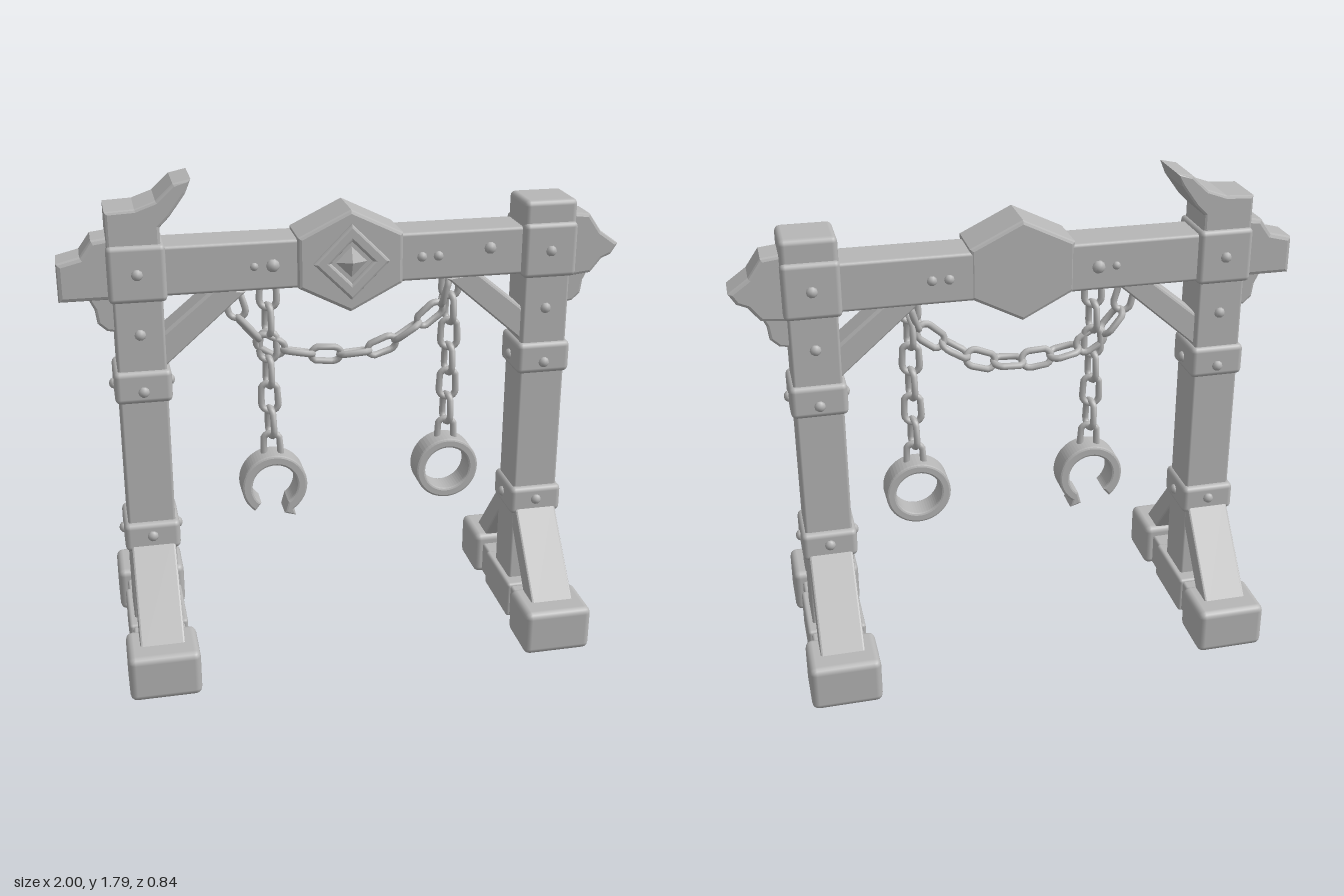
import * as THREE from 'three';
import { RoundedBoxGeometry } from 'three/addons/geometries/RoundedBoxGeometry.js';

export function createModel() {
  const model = new THREE.Group();
  const stone = new THREE.MeshStandardMaterial({ color: 0xb6b6b6 });
  stone.name = 'plain grey';

  const add = (name, geometry, x = 0, y = 0, z = 0, parent = model) => {
    const mesh = new THREE.Mesh(geometry, stone);
    mesh.name = name;
    mesh.position.set(x, y, z);
    parent.add(mesh);
    return mesh;
  };
  const box = (name, w, h, d, x, y, z, r = 0.015, parent = model) =>
    add(name, new RoundedBoxGeometry(w, h, d, 2, r), x, y, z, parent);
  const shapeOf = (pts) => new THREE.Shape(pts.map(([x, y]) => new THREE.Vector2(x, y)));
  // Slab with softened edges, from z0 to z1; the outline keeps its size
  const slab = (name, shape, z0, z1, bevel = 0.01, parent = model) => {
    const g = new THREE.ExtrudeGeometry(shape, {
      depth: z1 - z0 - 2 * bevel, bevelEnabled: bevel > 0, bevelThickness: bevel,
      bevelSize: bevel, bevelOffset: -bevel, bevelSegments: 2, curveSegments: 28,
    });
    g.translate(0, 0, z0 + bevel);
    return add(name, g, 0, 0, 0, parent);
  };
  // Domed bolt pointing along a direction
  const bolt = (x, y, z, dir, parent = model, r = 0.02) => {
    const g = new THREE.SphereGeometry(r, 10, 6);
    g.scale(1, 0.8, 1);
    const m = add('bolt', g, x, y, z, parent);
    m.quaternion.setFromUnitVectors(new THREE.Vector3(0, 1, 0), new THREE.Vector3(...dir));
  };

  // Uprights with feet, struts and collars
  for (const [name, px] of [['rightPost', -0.735], ['leftPost', 0.727]]) {
    const post = new THREE.Group();
    post.name = name;
    post.position.x = px;
    model.add(post);
    box('postShaft', 0.17, 1.46, 0.17, 0, 0.85, 0, 0.01, post);
    box('footBeam', 0.19, 0.13, 0.6, 0, 0.07, 0, 0.01, post);
    box('footMiddle', 0.215, 0.145, 0.28, 0, 0.0725, 0, 0.012, post);
    for (const s of [1, -1]) {
      box('footCap', 0.255, 0.175, 0.205, 0, 0.0875, s * 0.32, 0.025, post);
      // Sloping strut
      const strut = slab('footStrut', shapeOf([
        [0.36, 0.15], [0.09, 0.47], [0.06, 0.47], [0.06, 0.385], [0.25, 0.15],
      ]), -0.08, 0.08, 0.008, post);
      strut.rotation.y = -s * Math.PI / 2;
    }
    box('lowerCollar', 0.2, 0.11, 0.21, 0, 0.485, 0, 0.02, post);
    box('middleCollar', 0.2, 0.12, 0.2, 0, 1.065, 0, 0.02, post);
    box('beamCollar', 0.198, 0.2, 0.22, 0, 1.475, 0, 0.018, post);
    for (const s of [1, -1]) {
      for (const [y, z] of [[0.49, 0.105], [1.05, 0.1], [1.255, 0.085], [1.475, 0.11]])
        bolt(0, y, s * z, [0, 0, s], post);
      for (const y of [0.485, 1.055]) bolt(s * 0.1, y, 0, [s, 0, 0], post);
    }
  }

  // Post tops: one squared, one splintered
  box('postTop', 0.195, 0.13, 0.19, 0.727, 1.59, 0, 0.02);
  slab('splinteredTop', shapeOf([
    [-0.83, 1.54], [-0.83, 1.69], [-0.73, 1.695], [-0.66, 1.72], [-0.6, 1.775],
    [-0.54, 1.788], [-0.56, 1.74], [-0.615, 1.665], [-0.65, 1.63], [-0.65, 1.54],
  ]), -0.095, 0.095);

  // Crossbeam and its worn ends
  box('crossbeam', 1.5, 0.175, 0.165, 0, 1.4725, -0.006, 0.012);
  slab('rightBeamEnd', shapeOf([
    [-0.8, 1.38], [-1, 1.38], [-1, 1.515], [-0.92, 1.535], [-0.88, 1.59], [-0.8, 1.6],
  ]), -0.07, 0.07, 0.015);
  slab('leftBeamEnd', shapeOf([
    [0.8, 1.36], [0.9, 1.37], [0.94, 1.42], [0.975, 1.435], [1, 1.475],
    [0.93, 1.525], [0.885, 1.59], [0.8, 1.6],
  ]), -0.07, 0.065, 0.012);
  for (const s of [1, -1]) {
    const pts = [[0.78, 1.4], [0.78, 1.25], [0.845, 1.262], [0.875, 1.29], [0.882, 1.34], [0.91, 1.4]];
    if (s < 0) pts.reverse();
    slab('beamEndBracket', shapeOf(pts.map(([x, y]) => [s * x, y])), -0.045, 0.045);
    // Diagonal knee brace
    const knee = [[0.67, 1.11], [0.36, 1.38], [0.47, 1.4], [0.67, 1.235]];
    if (s < 0) knee.reverse();
    slab('kneeBrace', shapeOf(knee.map(([x, y]) => [s * x, y])), -0.06, 0.06);
  }
  for (const s of [1, -1])
    for (const [x, r] of [[-0.27, 0.024], [-0.335, 0.015], [0.26, 0.018], [0.32, 0.018]])
      bolt(x, 1.472, s > 0 ? 0.078 : -0.09, [0, 0, s], model, r);
  bolt(0.51, 1.49, 0.077, [0, 0, 1], model, 0.022);

  // Hexagonal centrepiece with a diamond boss
  const cy = 1.478;
  slab('centreHexagon', shapeOf([
    [-0.185, 1.57], [-0.185, 1.39], [0, 1.295], [0.185, 1.39], [0.185, 1.57], [0, 1.66],
  ]), -0.09, 0.108, 0.012);
  const diamond = (r) => [[-r, cy], [0, cy - r], [r, cy], [0, cy + r]];
  const rim = shapeOf(diamond(0.135));
  rim.holes.push(new THREE.Path(diamond(0.075).map(([x, y]) => new THREE.Vector2(x, y))));
  slab('diamondRim', rim, 0.095, 0.125, 0.009);
  const boss = new THREE.ConeGeometry(0.055, 0.022, 4);
  boss.rotateX(Math.PI / 2);
  add('diamondBoss', boss.toNonIndexed(), 0, cy, 0.119).geometry.computeVertexNormals();

  // Chain link: a torus pulled long in y
  const link = new THREE.TorusGeometry(0.031, 0.0125, 8, 16);
  const p = link.attributes.position;
  for (let i = 0; i < p.count; i++) p.setY(i, p.getY(i) + (p.getY(i) >= -1e-6 ? 0.024 : -0.024));
  const chain = (name, points, count) => {
    const group = new THREE.Group();
    group.name = name;
    model.add(group);
    const curve = new THREE.CatmullRomCurve3(points.map(([x, y]) => new THREE.Vector3(x, y, 0)));
    for (let i = 0; i < count; i++) {
      const t = (i + 0.5) / count, at = curve.getPointAt(t), dir = curve.getTangentAt(t);
      const m = add('chainLink', link, at.x, at.y, 0, group);
      m.quaternion.setFromUnitVectors(new THREE.Vector3(0, 1, 0), dir);
      m.rotateY(i % 2 ? 1.35 : 0.25);
    }
  };
  chain('rightHangingChain', [[-0.278, 1.4], [-0.282, 1.05], [-0.275, 0.71]], 7);
  chain('leftHangingChain', [[0.388, 1.4], [0.39, 1.05], [0.388, 0.71]], 7);
  chain('swagChain', [
    [-0.41, 1.37], [-0.37, 1.25], [-0.27, 1.155], [-0.13, 1.115], [0.03, 1.105],
    [0.14, 1.125], [0.27, 1.2], [0.35, 1.27], [0.385, 1.37],
  ], 10);

  // Shackles: one whole, one broken open at the bottom
  const ring = new THREE.Shape().absarc(0, 0, 0.12, 0, Math.PI * 2, false);
  ring.holes.push(new THREE.Path().absarc(0, 0, 0.084, 0, Math.PI * 2, true));
  slab('closedShackle', ring, -0.05, 0.05, 0.008).position.set(0.385, 0.627, 0);
  const a0 = -0.95, a1 = Math.PI + 0.9;
  const broken = new THREE.Shape();
  broken.absarc(0, 0, 0.122, a0, a1, false);
  broken.absarc(0, 0, 0.083, a1, a0, true);
  broken.lineTo(0.035, -0.115);
  broken.lineTo(0.078, -0.127);
  slab('brokenShackle', broken, -0.05, 0.05, 0.008).position.set(-0.275, 0.617, 0);

  return model;
}
